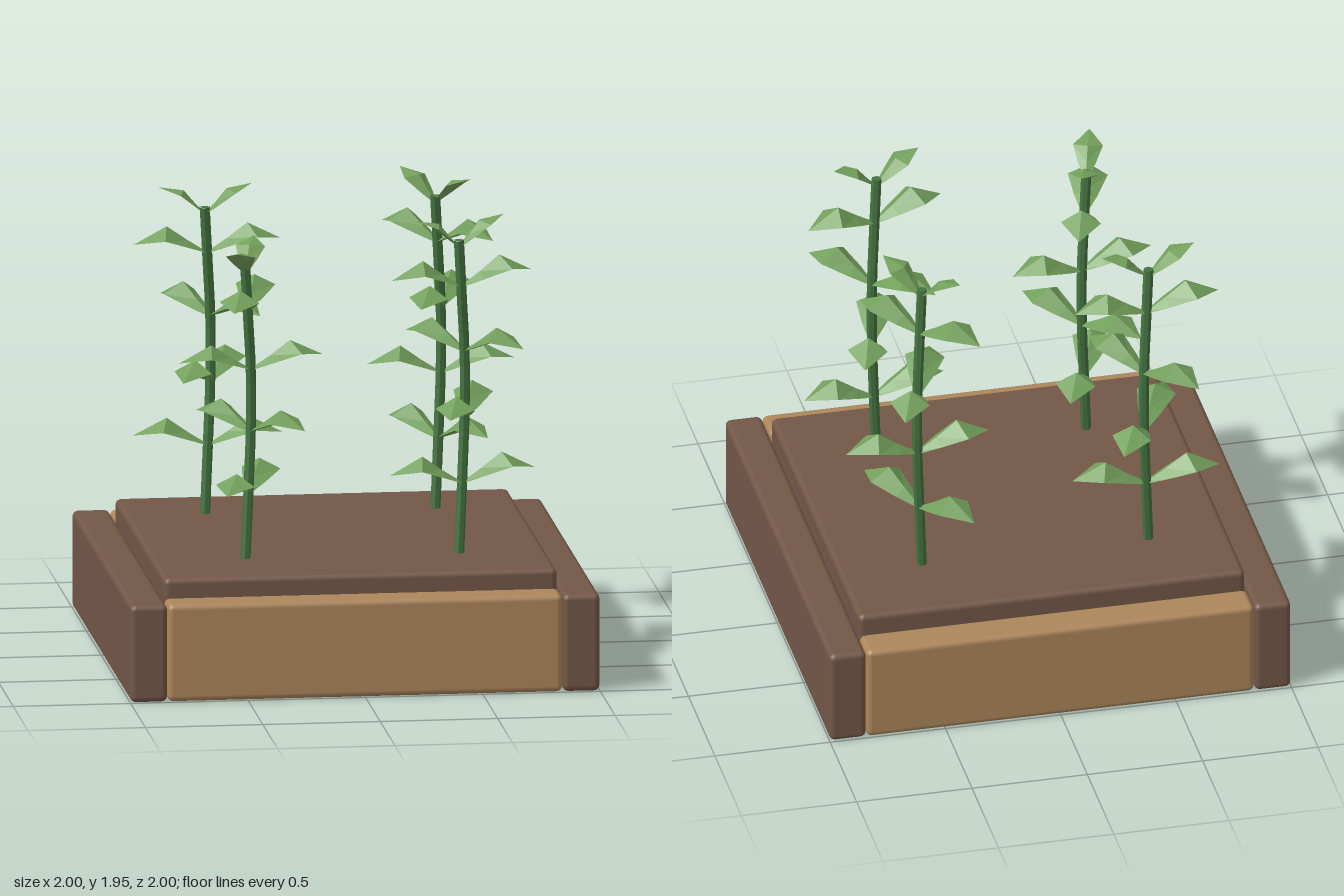
import * as THREE from 'three';
import { RoundedBoxGeometry } from 'three/addons/geometries/RoundedBoxGeometry.js';

const mat = (name, color, extra = {}) => {
  const m = new THREE.MeshStandardMaterial({ color, ...extra });
  m.name = name;
  return m;
};

// Leaf along +x: root, two cross-sections folded over a raised midrib, tip
function leafGeometry() {
  const sections = [ // rib x, rib y, edge x, edge y, half width
    [0, 0, 0, -0.005, 0.012],
    [0.085, 0.055, 0.09, 0.03, 0.05],
    [0.175, 0.12, 0.2, 0.07, 0.085],
    [0.32, 0.045, 0.32, 0.045, 0],
  ];
  const pos = [];
  for (let i = 0; i < sections.length - 1; i++) {
    for (const side of [1, -1]) {
      const rib = (s) => [s[0], s[1], 0];
      const edge = (s) => [s[2], s[3], s[4] * side];
      const [a, b] = [sections[i], sections[i + 1]];
      const tris = [[rib(a), edge(a), edge(b)]];
      tris.push([rib(a), edge(b), rib(b)]);
      for (const t of tris) {
        if (side < 0) t.reverse();
        pos.push(...t.flat());
      }
    }
  }
  const g = new THREE.BufferGeometry();
  g.setAttribute('position', new THREE.Float32BufferAttribute(pos, 3));
  g.computeVertexNormals();
  return g;
}

export function createModel() {
  const model = new THREE.Group();
  model.name = 'planterBed';
  const lightWood = mat('lightWood', 0xac865b);
  const darkBrown = mat('darkBrown', 0x735747);
  const stemGreen = mat('stemGreen', 0x447340, { flatShading: true });
  const leafGreen = mat('leafGreen', 0x73a05c, { flatShading: true, side: THREE.DoubleSide });

  const box = (name, w, h, d, x, y, z, material) => {
    const m = new THREE.Mesh(new RoundedBoxGeometry(w, h, d, 2, 0.025), material);
    m.name = name;
    m.position.set(x, y, z);
    model.add(m);
  };

  // Frame planks and soil slab
  for (const s of [1, -1]) {
    box(s > 0 ? 'leftPlank' : 'rightPlank', 0.158, 0.42, 2, s * 0.921, 0.21, 0, darkBrown);
    box(s > 0 ? 'frontPlank' : 'backPlank', 1.68, 0.42, 0.158, 0, 0.21, s * 0.921, lightWood);
  }
  box('soil', 1.675, 0.16, 1.675, 0, 0.42, 0, darkBrown);

  // Plants: bowed stem, four pairs of leaves in a spiral, a small raised pair on top
  const leafGeo = leafGeometry();
  const curve = new THREE.CatmullRomCurve3([
    [0, -0.03, 0], [0.017, 0.3, -0.027], [0.03, 0.6, -0.045],
    [0.03, 0.85, -0.045], [0.015, 1.1, -0.02], [0, 1.35, 0],
  ].map((p) => new THREE.Vector3(...p)));
  const stemGeo = new THREE.TubeGeometry(curve, 10, 0.022, 7, false);
  const stemTop = new THREE.CircleGeometry(0.022, 7).rotateX(-Math.PI / 2);
  const tiers = [0.3, 0.58, 0.865, 1.15];

  const addPlant = (name, x, z, degrees, scale) => {
    const plant = new THREE.Group();
    plant.name = name;
    plant.position.set(x, 0.5, z);
    plant.scale.y = scale;
    const stem = new THREE.Mesh(stemGeo, stemGreen);
    stem.name = 'stem';
    const cap = new THREE.Mesh(stemTop, stemGreen);
    cap.name = 'stemTop';
    cap.position.y = 1.35;
    plant.add(stem, cap);

    const addPair = (label, y, angle, tilt, size) => {
      const pair = new THREE.Group();
      pair.name = label;
      const p = curve.getPointAt((y + 0.03) / 1.385);
      pair.position.set(p.x, y, p.z);
      for (const turn of [0, 180]) {
        const leaf = new THREE.Mesh(leafGeo, leafGreen);
        leaf.name = 'leaf';
        leaf.rotation.set(0, THREE.MathUtils.degToRad(angle + turn), tilt);
        leaf.scale.set(size, tilt ? size * 0.6 : size, size);
        pair.add(leaf);
      }
      plant.add(pair);
    };
    tiers.forEach((y, i) => addPair('leafPair' + (i + 1), y, degrees + i * 62, 0, 1));
    addPair('topLeaves', 1.32, degrees + 6, 0.47, 0.75);
    model.add(plant);
  };
  addPlant('backRightPlant', -0.5, -0.475, 0, 0.98);
  addPlant('backLeftPlant', 0.48, -0.465, 124, 1);
  addPlant('frontRightPlant', -0.445, 0.46, 67, 0.935);
  addPlant('frontLeftPlant', 0.465, 0.46, 10, 1);
  return model;
}
